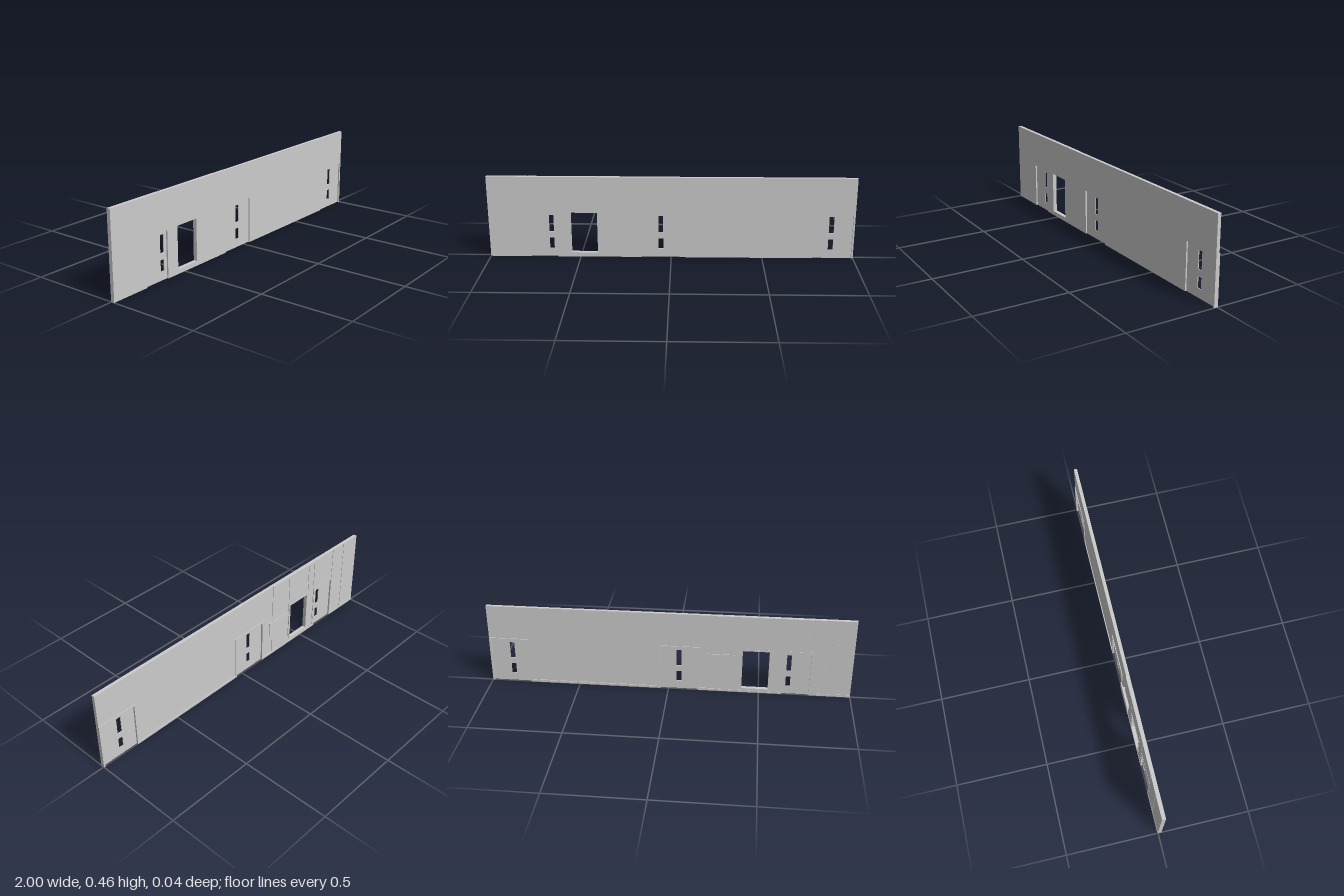
import * as THREE from 'three';

const material = new THREE.MeshStandardMaterial({ color: 0xcccccc, flatShading: true });
const HEIGHT = 0.46, DOOR_TOP = 0.257;
const FRONT = 0.018, WALL_BACK = 0, BACK = -0.004;

// Door openings and the x-range of the slots cut through each leaf
const doors = [
  { x0: -0.775, x1: -0.625, slot: [-0.67, -0.645] },
  { x0: -0.165, x1: 0.045, slot: [-0.071, -0.044] },
  { x0: 0.777, x1: 0.99, slot: [0.861, 0.888] },
];
const slotHeights = [[0.048, 0.108], [0.144, 0.24]];
const windowOpening = [-0.55, -0.405, 0.025, 0.257];

function rectPath(PathType, x0, x1, y0, y1) {
  const p = new PathType();
  p.moveTo(x0, y0);
  p.lineTo(x1, y0);
  p.lineTo(x1, y1);
  p.lineTo(x0, y1);
  p.closePath();
  return p;
}

function addSlab(group, name, shape, z0, z1) {
  const geometry = new THREE.ExtrudeGeometry(shape, { depth: z1 - z0, bevelEnabled: false });
  geometry.translate(0, 0, z0);
  const mesh = new THREE.Mesh(geometry, material);
  mesh.name = name;
  group.add(mesh);
}

function addBox(group, name, x0, x1, y0, y1, z0, z1) {
  const mesh = new THREE.Mesh(new THREE.BoxGeometry(x1 - x0, y1 - y0, z1 - z0), material);
  mesh.position.set((x0 + x1) / 2, (y0 + y1) / 2, (z0 + z1) / 2);
  mesh.name = name;
  group.add(mesh);
}

// Upright panel outline, notched at the bottom for any door it spans
function wallShape(x0, x1) {
  const s = new THREE.Shape();
  s.moveTo(x0, HEIGHT);
  s.lineTo(x0, 0);
  for (const d of doors) {
    if (d.x0 < x0 || d.x1 > x1) continue;
    s.lineTo(d.x0, 0);
    s.lineTo(d.x0, DOOR_TOP);
    s.lineTo(d.x1, DOOR_TOP);
    s.lineTo(d.x1, 0);
  }
  s.lineTo(x1, 0);
  s.lineTo(x1, HEIGHT);
  s.closePath();
  if (x0 < windowOpening[0] && x1 > windowOpening[1]) s.holes.push(rectPath(THREE.Path, ...windowOpening));
  return s;
}

export function createModel() {
  const model = new THREE.Group();
  model.name = 'wallSection';

  // Main wall
  addSlab(model, 'wall', wallShape(-1, 1), WALL_BACK, FRONT);

  // Thin cladding panels on the back, parted by narrow seams
  const seams = [-1, -0.878, -0.777, -0.61, -0.56, -0.39, -0.25];
  for (let i = 0; i < seams.length - 1; i++) {
    const x0 = seams[i] + (i ? 0.0015 : 0), x1 = seams[i + 1] - 0.0015;
    addSlab(model, 'backPanel', wallShape(x0, x1), -0.0025, WALL_BACK);
  }

  // Recessed doors with slots and a raised frame behind
  for (const d of doors) {
    const leaf = rectPath(THREE.Shape, d.x0, d.x1, 0, DOOR_TOP);
    for (const [y0, y1] of slotHeights) leaf.holes.push(rectPath(THREE.Path, ...d.slot, y0, y1));
    addSlab(model, 'door', leaf, 0.006, 0.01);
    const w = 0.01;
    addBox(model, 'doorFrameSide', d.x0 - w, d.x0, 0, DOOR_TOP + w, BACK, WALL_BACK);
    addBox(model, 'doorFrameSide', d.x1, d.x1 + w, 0, DOOR_TOP + w, BACK, WALL_BACK);
    addBox(model, 'doorFrameTop', d.x0, d.x1, DOOR_TOP, DOOR_TOP + w, BACK, WALL_BACK);
  }

  // Window frame
  const [wx0, wx1, wy0, wy1] = windowOpening;
  const frame = rectPath(THREE.Shape, wx0 - 0.01, wx1 + 0.01, wy0 - 0.01, wy1 + 0.01);
  frame.holes.push(rectPath(THREE.Path, ...windowOpening));
  addSlab(model, 'windowFrame', frame, BACK, WALL_BACK);

  // Skirting between the doors
  const runs = [[-1, -0.785], [-0.615, -0.175], [0.055, 0.767]];
  for (const [x0, x1] of runs) addBox(model, 'skirting', x0, x1, 0, 0.013, BACK, WALL_BACK);

  // Sign board on its stepped mount
  addBox(model, 'boardMount', -0.34, -0.23, 0.157, 0.214, -0.009, WALL_BACK);
  addBox(model, 'boardBacking', -0.35, -0.22, 0.152, 0.221, -0.014, -0.009);
  addBox(model, 'board', -0.36, -0.21, 0.15, 0.237, -0.018, -0.014);

  return model;
}
